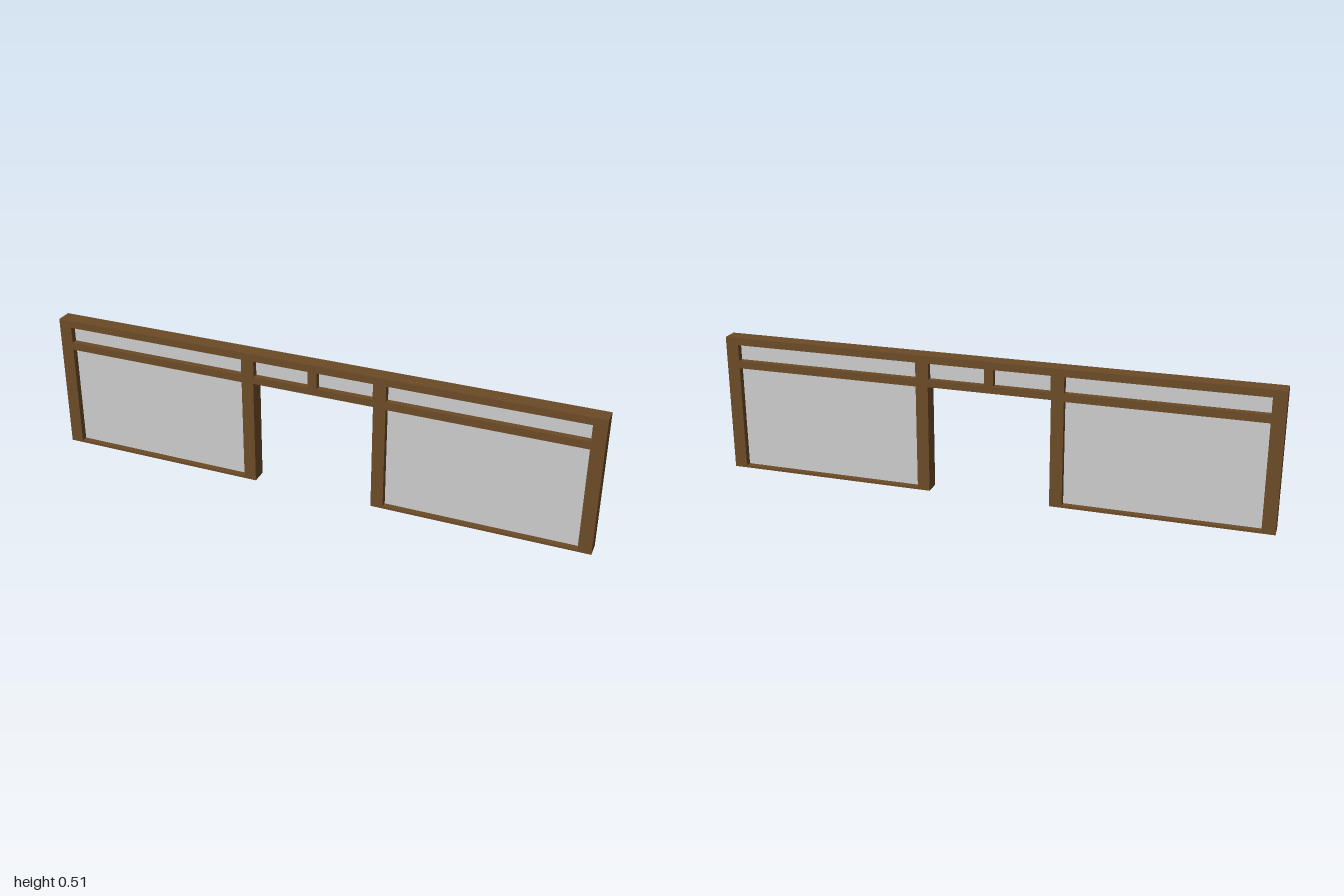
import * as THREE from 'three';

const DEPTH = 0.058, HEIGHT = 0.507;

// Panes on the +x side as [x0, y0, x1, y1]; the other side mirrors them
const halfPanes = [
  [0.267, 0.008, 0.953, 0.392], // main window
  [0.267, 0.42, 0.953, 0.48],   // transom light
  [0.016, 0.42, 0.22, 0.48],    // light above the doorway
];
const names = ['window', 'transomLight', 'doorLight'];

function rectPath([x0, y0, x1, y1]) {
  const path = new THREE.Path();
  path.moveTo(x0, y0);
  path.lineTo(x0, y1);
  path.lineTo(x1, y1);
  path.lineTo(x1, y0);
  path.closePath();
  return path;
}

export function createModel() {
  const model = new THREE.Group();
  const wood = new THREE.MeshStandardMaterial({ color: 0x6b4a26 });
  const glass = new THREE.MeshStandardMaterial({ color: 0xcccccc });

  // Timber outline with the doorway cut up from the floor
  const outline = [
    [-1, 0], [-0.222, 0], [-0.222, 0.394], [0.222, 0.394],
    [0.222, 0], [1, 0], [1, HEIGHT], [-1, HEIGHT],
  ];
  const shape = new THREE.Shape(outline.map(([x, y]) => new THREE.Vector2(x, y)));

  // Openings and their centred panes, mirrored left and right
  for (const side of [1, -1]) {
    halfPanes.forEach(([a, y0, b, y1], i) => {
      const x0 = side > 0 ? a : -b, x1 = side > 0 ? b : -a;
      shape.holes.push(rectPath([x0, y0, x1, y1]));
      const pane = new THREE.Mesh(new THREE.BoxGeometry(x1 - x0, y1 - y0, 0.012), glass);
      pane.position.set((x0 + x1) / 2, (y0 + y1) / 2, 0);
      pane.name = (side > 0 ? 'left ' : 'right ') + names[i];
      model.add(pane);
    });
  }

  // Frame of posts, rails and sills in one piece
  const geometry = new THREE.ExtrudeGeometry(shape, { depth: DEPTH, bevelEnabled: false });
  geometry.translate(0, 0, -DEPTH / 2);
  const frame = new THREE.Mesh(geometry, wood);
  frame.name = 'frame';
  model.add(frame);

  return model;
}
